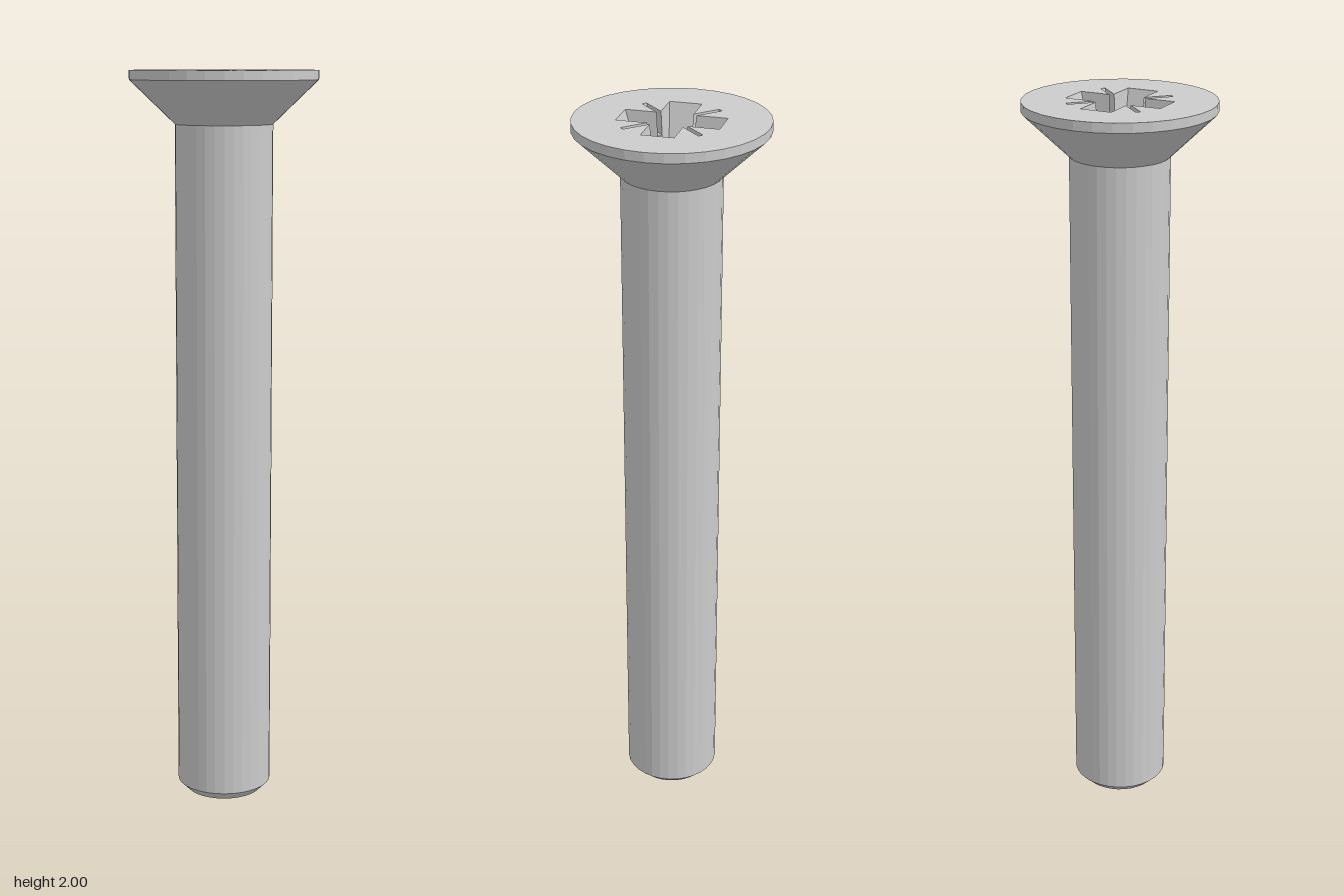
import * as THREE from 'three';

const steel = new THREE.MeshStandardMaterial({ color: 0xcccccc, flatShading: true });

function addMesh(parent, name, geometry) {
  const mesh = new THREE.Mesh(geometry, steel);
  mesh.name = name;
  parent.add(mesh);
  return mesh;
}

// Flat convex faces, each a list of [x, y, z] corners in counter-clockwise order
function facesGeometry(faces) {
  const pos = [];
  for (const f of faces)
    for (let i = 1; i < f.length - 1; i++) pos.push(...f[0], ...f[i], ...f[i + 1]);
  const g = new THREE.BufferGeometry();
  g.setAttribute('position', new THREE.Float32BufferAttribute(pos, 3));
  g.computeVertexNormals();
  return g;
}

const lathe = (points) =>
  new THREE.LatheGeometry(points.map(([r, y]) => new THREE.Vector2(r, y)), 32);

const flat = (shape, y) => new THREE.ShapeGeometry(shape).rotateX(-Math.PI / 2).translate(0, y, 0);

export function createModel() {
  const screw = new THREE.Group();
  screw.name = 'countersunkScrew';

  // Levels: head top, slot floor, recess floor
  const top = 2, slotY = 1.94, floorY = 1.86;
  const headR = 0.25, shankR = 0.13, boreR = 0.06;

  // Shank with chamfered tip, and countersunk head
  addMesh(screw, 'shank', lathe([[0, 0], [0.105, 0], [shankR, 0.025], [shankR, 1.86]]));
  addMesh(screw, 'head', lathe([[shankR, 1.86], [headR, 1.975], [headR, top]]));

  // Recess corners: tapered cross arm and narrow diagonal slot
  const w0 = 0.042, w1 = 0.0381, w2 = 0.033, L0 = 0.132, L2 = 0.09, s = 0.0046;
  const boreX = Math.sqrt(boreR * boreR - w2 * w2);
  const A = [L0, top, w0], B = [L2, floorY, w2], C = [boreX, floorY, w2];
  const D = [w1 + 2 * s, slotY, w1], E = [w0 + 2 * s, top, w0];
  const P = [0.099 + s, top, 0.099 - s], Q = [0.086 + s, slotY, 0.086 - s];
  const swap = ([x, y, z]) => [z, y, x];
  const flipZ = ([x, y, z]) => [x, y, -z];

  // One quarter of the recess walls
  const armSide = [A, B, C, D, E];
  const slotSide = [E, D, Q, P];
  const quarter = facesGeometry([
    armSide, armSide.map(swap).reverse(),
    slotSide, slotSide.map(swap).reverse(),
    [P, Q, swap(Q), swap(P)],
    [D, swap(D), swap(Q), Q],
    [D, C, swap(C), swap(D)],
    [A, flipZ(A), flipZ(B), B],
  ]);

  // Arm floor, cut by the round bore
  const a = Math.atan2(w2, boreX);
  const armShape = new THREE.Shape();
  armShape.moveTo(L2, -w2);
  armShape.lineTo(L2, w2);
  for (let i = 0; i <= 6; i++) {
    const t = a - (2 * a * i) / 6;
    armShape.lineTo(boreR * Math.cos(t), boreR * Math.sin(t));
  }
  const armFloor = flat(armShape, floorY);

  const recess = new THREE.Group();
  recess.name = 'driveRecess';
  screw.add(recess);
  const outline = [];
  for (let k = 0; k < 4; k++) {
    const angle = (k * Math.PI) / 2;
    addMesh(recess, 'recessWalls', quarter).rotation.y = angle;
    addMesh(recess, 'armFloor', armFloor).rotation.y = angle;
    for (const [x, , z] of [A, E, P, swap(P), swap(E), swap(A)])
      outline.push(new THREE.Vector2(x, z).rotateAround(new THREE.Vector2(), angle));
  }
  addMesh(recess, 'recessTip', lathe([[boreR, floorY], [0, floorY - 0.03]]));

  // Head top face with the recess opening
  const disc = new THREE.Shape();
  for (let i = 0; i < 32; i++) {
    const t = (i * Math.PI) / 16;
    disc[i ? 'lineTo' : 'moveTo'](headR * Math.cos(t), headR * Math.sin(t));
  }
  disc.holes.push(new THREE.Path(outline));
  addMesh(screw, 'headTop', flat(disc, top));

  return screw;
}
